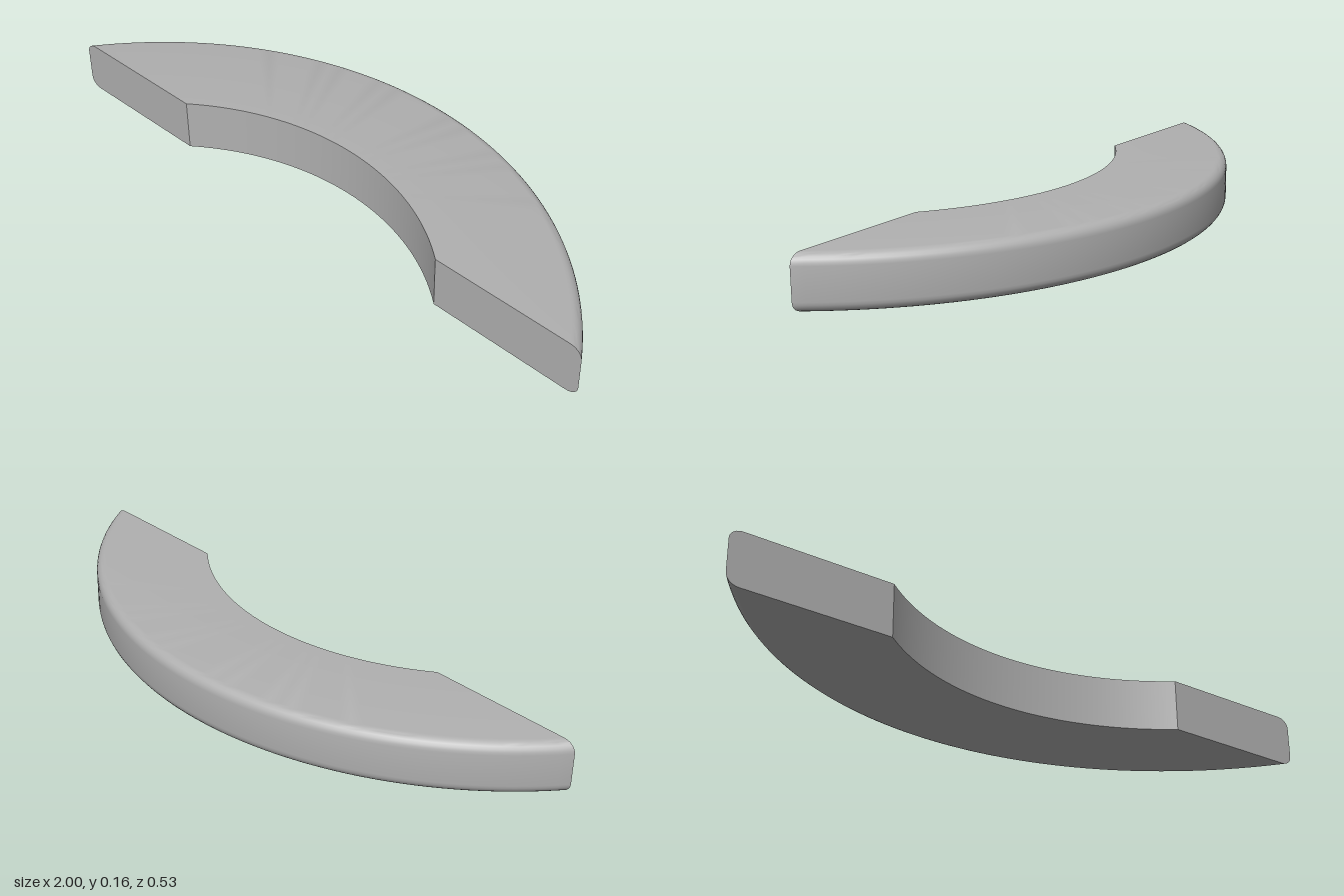
import * as THREE from 'three';
import { toCreasedNormals } from 'three/addons/utils/BufferGeometryUtils.js';

const HEIGHT = 0.16, FRONT = 0.267, FILLET = 0.032;
const OUTER = { radius: 1.203, centre: 0.936 };
const INNER = { radius: 0.823, centre: 0.913 };
const SEGMENTS = 64, FILLET_STEPS = 6;

// Cross-section: square inner edges, rounded outer edges
function crossSection() {
  const rows = [{ ...INNER, y: 0 }];
  for (const top of [0, 1]) {
    for (let k = 0; k <= FILLET_STEPS; k++) {
      const a = (k / FILLET_STEPS + top - 1) * Math.PI / 2;
      rows.push({
        centre: OUTER.centre,
        radius: OUTER.radius - FILLET + FILLET * Math.cos(a),
        y: (top ? HEIGHT - FILLET : FILLET) + FILLET * Math.sin(a),
      });
    }
  }
  rows.push({ ...INNER, y: HEIGHT });
  return rows;
}

// Sweep each row along its own arc, cut off by the flat front plane
function archGeometry() {
  const rows = crossSection(), n = rows.length;
  const positions = [], index = [];
  for (let i = 0; i <= SEGMENTS; i++) {
    const t = (i / SEGMENTS) * 2 - 1;
    for (const { radius, centre, y } of rows) {
      const a = t * Math.acos((centre - FRONT) / radius);
      positions.push(radius * Math.sin(a), y, centre - radius * Math.cos(a));
    }
  }
  for (let i = 0; i < SEGMENTS; i++) {
    for (let j = 0; j < n; j++) {
      const k = (j + 1) % n;
      const a = i * n + j, b = i * n + k, c = a + n, d = b + n;
      index.push(a, b, c, b, d, c);
    }
  }
  // Flat front ends
  const last = SEGMENTS * n;
  for (let j = 1; j < n - 1; j++) {
    index.push(0, j + 1, j, last, last + j, last + j + 1);
  }
  const geometry = new THREE.BufferGeometry();
  geometry.setAttribute('position', new THREE.Float32BufferAttribute(positions, 3));
  geometry.setIndex(index);
  return toCreasedNormals(geometry, 0.5);
}

export function createModel() {
  const grey = new THREE.MeshStandardMaterial({ color: 0xb0b0b0 });
  grey.name = 'grey';
  const arch = new THREE.Mesh(archGeometry(), grey);
  arch.name = 'curvedSlab';
  const model = new THREE.Group();
  model.name = 'curvedSegment';
  model.add(arch);
  return model;
}
